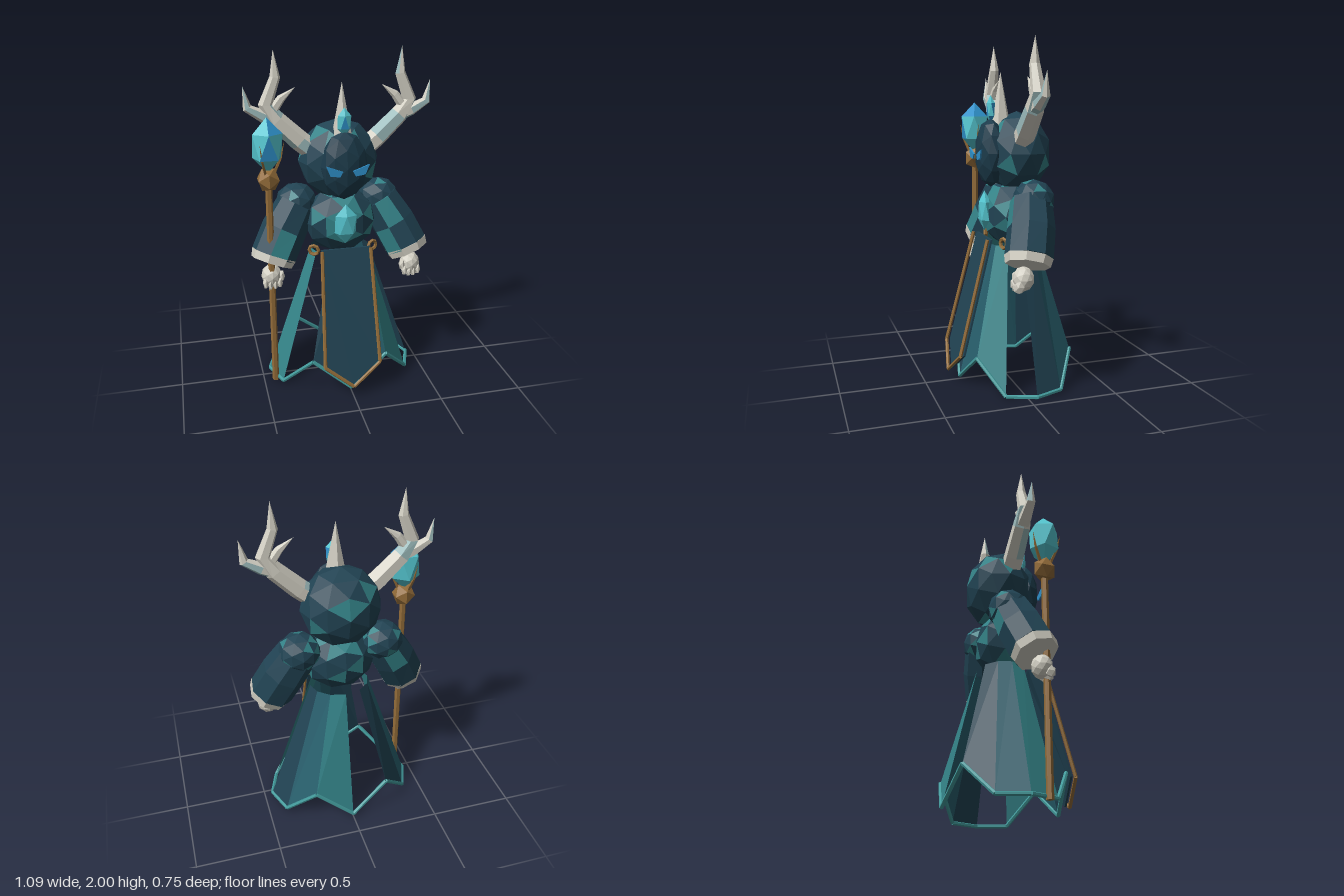
import * as THREE from 'three';

const V = (x, y, z) => new THREE.Vector3(x, y, z);

function material(name, color, side = THREE.FrontSide) {
  const m = new THREE.MeshStandardMaterial({ color, side });
  m.name = name;
  return m;
}

export function createModel() {
  const model = new THREE.Group();
  const navy = material('navy cloth', 0x214353, THREE.DoubleSide);
  const deep = material('deep navy', 0x1c3b4b);
  const teal = material('teal cloth', 0x348388, THREE.DoubleSide);
  const mid = material('mid teal cloth', 0x285f6d, THREE.DoubleSide);
  const hem = material('hem teal', 0x429a9b);
  const bone = material('bone', 0xd3d0c4);
  const pale = material('pale blue bone', 0x9dbcbd);
  const gold = material('old gold', 0x936c39);
  const cyan = material('cyan crystal', 0x55c6d0);
  const blue = material('blue crystal', 0x2f92cc);

  let seed = 7;
  const random = () => (seed = (seed * 16807) % 2147483647) / 2147483647;

  function add(name, geometry, mat, parent = model) {
    const mesh = new THREE.Mesh(geometry, mat);
    mesh.name = name;
    parent.add(mesh);
    return mesh;
  }

  // flat facets, without shared corners
  function flat(geometry) {
    const g = geometry.index ? geometry.toNonIndexed() : geometry;
    g.computeVertexNormals();
    return g;
  }

  // give a share of the facets the second colour; step = triangles per facet
  function patch(geometry, share, step = 1) {
    geometry.clearGroups();
    const count = geometry.attributes.position.count;
    for (let i = 0; i < count; i += step * 3) {
      geometry.addGroup(i, Math.min(step * 3, count - i), random() < share ? 1 : 0);
    }
    return geometry;
  }

  function ball(center, radii, detail = 1) {
    const g = new THREE.IcosahedronGeometry(1, detail);
    g.scale(...radii).translate(...center);
    return flat(g);
  }

  // pointed crystal: icosahedron standing on a corner
  function gem(center, radii) {
    const g = new THREE.IcosahedronGeometry(1, 0);
    g.rotateX(-Math.atan2(1 + Math.sqrt(5), 2)).scale(...radii).translate(...center);
    return flat(g);
  }

  // faceted tube through points, one radius per point, closed at both ends
  function loft(points, radii, sides) {
    const rings = points.map((p, i) => {
      const t = points[Math.min(i + 1, points.length - 1)].clone()
        .sub(points[Math.max(i - 1, 0)]).normalize();
      const n = V(0, 0, 1).addScaledVector(t, -t.z).normalize();
      const b = t.clone().cross(n);
      return Array.from({ length: sides }, (_, j) => {
        const a = (j + 0.5) / sides * Math.PI * 2;
        return p.clone().addScaledVector(n, radii[i] * Math.cos(a)).addScaledVector(b, radii[i] * Math.sin(a));
      });
    });
    const tri = [];
    const last = rings.length - 1;
    for (let i = 0; i < last; i++) {
      for (let j = 0; j < sides; j++) {
        const k = (j + 1) % sides;
        tri.push(rings[i][j], rings[i][k], rings[i + 1][k], rings[i][j], rings[i + 1][k], rings[i + 1][j]);
      }
    }
    for (let j = 0; j < sides; j++) {
      const k = (j + 1) % sides;
      tri.push(points[0], rings[0][k], rings[0][j], points[last], rings[last][j], rings[last][k]);
    }
    return flat(new THREE.BufferGeometry().setFromPoints(tri));
  }

  const rod = (a, b, r) => loft([a, b], [r, r], 6);

  // hood, mask and body
  add('hood', patch(ball([0, 1.36, -0.07], [0.238, 0.24, 0.197]), 0.27), [navy, teal]);
  add('mask', ball([0, 1.36, 0.092], [0.137, 0.2, 0.088]), deep);
  add('torso', patch(ball([0, 1.0, -0.03], [0.22, 0.2, 0.168]), 0.27), [navy, teal]);

  // glowing eyes
  for (const s of [-1, 1]) {
    const pts = [[0.124, 1.388], [0.028, 1.352], [0.045, 1.322], [0.1, 1.33]].map(([x, y]) => new THREE.Vector2(s * x, y));
    const g = new THREE.ExtrudeGeometry(new THREE.Shape(pts), { depth: 0.009, bevelEnabled: false });
    add('eye', g.translate(0, 0, 0.178), blue);
  }

  // forehead horn and gems
  const horn = new THREE.ConeGeometry(0.065, 0.33, 6);
  add('forehead horn', flat(horn.translate(0, 1.66, 0.03)), bone);
  add('forehead gem', patch(gem([0, 1.61, 0.09], [0.045, 0.082, 0.026]), 0.3), [cyan, blue]);
  add('chest gem', patch(gem([0, 1.02, 0.13], [0.074, 0.12, 0.038]), 0.12), [cyan, blue]);

  for (const s of [-1, 1]) {
    const side = s > 0 ? 'left' : 'right';

    // antler: main beam, outer fork and inner spike
    const antler = new THREE.Group();
    antler.name = side + ' antler';
    model.add(antler);
    const branch = (name, pts, radii) => add(name,
      patch(loft(pts.map(([x, y]) => V(s * x, y, -0.045)), radii, 6), 0.12, 2), [bone, pale], antler);
    branch('main beam', [[0.15, 1.42], [0.23, 1.485], [0.36, 1.61], [0.418, 1.7], [0.36, 1.85], [0.367, 2]],
      [0.06, 0.06, 0.054, 0.042, 0.03, 0]);
    branch('outer fork', [[0.34, 1.6], [0.43, 1.635], [0.52, 1.685], [0.542, 1.81]], [0.04, 0.037, 0.027, 0]);
    branch('inner spike', [[0.39, 1.65], [0.33, 1.73], [0.25, 1.79]], [0.032, 0.024, 0]);

    // arm: shoulder, flared sleeve, cuff
    const arm = new THREE.Group();
    arm.name = side + ' arm';
    model.add(arm);
    add('shoulder', patch(ball([s * 0.25, 1.105, -0.085], [0.126, 0.118, 0.12]), 0.2), [navy, teal], arm);
    add('sleeve', patch(loft([V(s * 0.25, 1.1, -0.07), V(s * 0.335, 0.955, -0.04), V(s * 0.408, 0.81, 0)],
      [0.12, 0.136, 0.136], 8), 0.2, 2), [navy, teal], arm);
    add('cuff', loft([V(s * 0.406, 0.815, 0), V(s * 0.424, 0.772, 0.012)], [0.137, 0.126], 8), bone, arm);

    // fist with fingers and thumb
    add('palm', ball([s * 0.428, 0.7, 0.038], [0.062, 0.07, 0.06]), bone, arm);
    for (let f = 0; f < 4; f++) {
      add('finger', ball([s * (0.385 + f * 0.028), 0.65 + Math.abs(f - 1.5) * 0.01, 0.07], [0.018, 0.038, 0.032], 0), bone, arm);
    }
    add('thumb', ball([s * 0.372, 0.7, 0.06], [0.02, 0.038, 0.028], 0), bone, arm);

    // hanging ring at the waist
    const ring = flat(new THREE.TorusGeometry(0.028, 0.011, 5, 8));
    ring.rotateY(s * 0.4).translate(s * 0.178, 0.85, 0.07);
    add('waist ring', ring, gold);
  }

  // robe skirt: twelve wedges with every fourth one open, and a zigzag hem
  const skirt = new THREE.Group();
  skirt.name = 'skirt';
  model.add(skirt);
  const top = [], bottom = [];
  for (let i = 0; i < 12; i++) {
    const a = i * Math.PI / 6, x = Math.sin(a), z = Math.cos(a);
    const raised = [1, 5, 7, 11].includes(i);
    top.push(V(0.18 * x, 0.825, -0.04 + 0.15 * z));
    bottom.push(V(0.45 * x, raised ? 0.2 : 0.02, -0.04 + 0.33 * z));
  }
  const cloths = [mid, teal, null, navy];
  for (let i = 0; i < 12; i++) {
    const k = (i + 1) % 12;
    const cloth = cloths[i % 4];
    if (cloth) {
      const g = new THREE.BufferGeometry().setFromPoints(
        [bottom[i], bottom[k], top[k], bottom[i], top[k], top[i]]);
      add('skirt panel', flat(g), cloth, skirt);
    }
    add('hem', rod(bottom[i], bottom[k], 0.012), hem, skirt);
  }

  // sloping front tabard with gold edging
  const slope = (x, y, out) => V(x, y, 0.125 + out + (0.87 - y) * 0.257);
  const outline = [[-0.145, 0.87], [-0.167, 0.2], [0, 0.07], [0.167, 0.2], [0.145, 0.87]];
  const tabard = new THREE.ExtrudeGeometry(new THREE.Shape(outline.map(p => new THREE.Vector2(...p))),
    { depth: 0.012, bevelEnabled: false });
  tabard.clearGroups();
  const pos = tabard.attributes.position;
  for (let i = 0; i < pos.count; i++) pos.setXYZ(i, ...slope(pos.getX(i), pos.getY(i), pos.getZ(i)));
  add('tabard', flat(tabard), navy);
  for (let i = 0; i < 4; i++) {
    add('tabard edging', rod(slope(...outline[i], 0.031), slope(...outline[i + 1], 0.031), 0.011), gold);
  }

  // staff with crystal head
  const staff = new THREE.Group();
  staff.name = 'staff';
  staff.position.set(-0.43, 0, 0.065);
  model.add(staff);
  add('shaft', rod(V(0, 0, 0), V(0, 1.27, 0), 0.02), gold, staff);
  add('socket', ball([0, 1.3, 0], [0.07, 0.075, 0.07], 0), gold, staff);
  add('crystal', patch(gem([0, 1.495, 0], [0.098, 0.158, 0.095]), 0.3), [cyan, blue], staff);
  for (let i = 0; i < 3; i++) {
    const a = 0.55 + i * Math.PI * 2 / 3, x = -Math.sin(a), z = Math.cos(a);
    add('claw', loft([V(0.035 * x, 1.34, 0.035 * z), V(0.072 * x, 1.42, 0.072 * z), V(0.096 * x, 1.52, 0.096 * z)],
      [0.01, 0.008, 0], 4), gold, staff);
  }

  return model;
}
